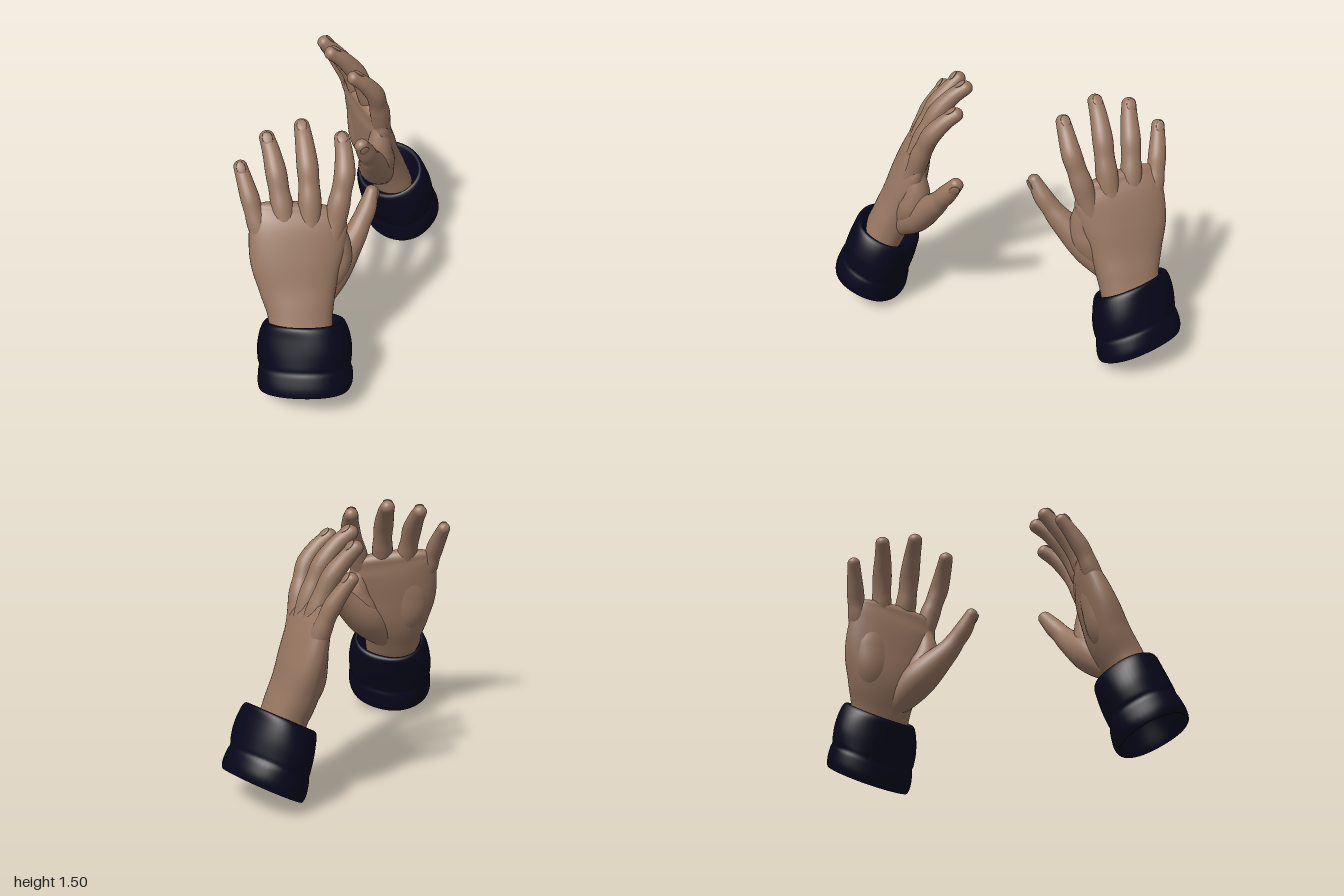
import * as THREE from 'three';

const skin = new THREE.MeshStandardMaterial({ color: 0x977661 });
skin.name = 'skin';
const cloth = new THREE.MeshStandardMaterial({ color: 0x06061b, side: THREE.DoubleSide });
cloth.name = 'navy cloth';

const vec = (x, y, z) => new THREE.Vector3(x, y, z);
const ACROSS = vec(0.43, -0.08, -0.9); // from index side to little-finger side

// Smooth path and radii through stations [x, y, z, halfWidth, halfDepth]
function makePath(stations, across, axis) {
  const curve = new THREE.CatmullRomCurve3(
    stations.map(s => vec(s[0], s[1], s[2])), false, 'catmullrom', 0.5);
  const radii = new THREE.CatmullRomCurve3(
    stations.map(s => vec(s[3], s[4], 0)), false, 'catmullrom', 0.5);
  return t => {
    const T = axis ? axis.clone().normalize() : curve.getTangent(t);
    const W = across.clone().addScaledVector(T, -across.dot(T)).normalize();
    const N = T.clone().cross(W);
    const r = radii.getPoint(t);
    return { c: curve.getPoint(t), T, W, N, rw: r.x, rn: r.y };
  };
}

// Skins closed cross-sections along a path; dome rounds off the far end
function loft(path, { rings = 30, sides = 28, dome = 0, power = 1, wobble = 0 } = {}) {
  const frames = [];
  for (let i = 0; i <= rings; i++) frames.push(path(i / rings));
  const end = frames[rings];
  const steps = dome ? 7 : 0;
  for (let k = 1; k <= steps; k++) {
    const a = (k / steps) * Math.PI / 2, s = Math.max(Math.cos(a), 0.001);
    frames.push({ ...end, c: end.c.clone().addScaledVector(end.T, dome * Math.sin(a)),
      rw: end.rw * s, rn: end.rn * s });
  }
  const shape = v => Math.sign(v) * Math.pow(Math.abs(v), power);
  const pos = [], index = [];
  frames.forEach((f, i) => {
    for (let j = 0; j < sides; j++) {
      const a = (j / sides) * Math.PI * 2;
      const k = 1 + wobble * Math.sin(3 * a + i * 0.2) + wobble * 0.6 * Math.sin(5 * a - i * 0.3);
      const p = f.c.clone()
        .addScaledVector(f.W, shape(Math.cos(a)) * f.rw * k)
        .addScaledVector(f.N, shape(Math.sin(a)) * f.rn * k);
      pos.push(p.x, p.y, p.z);
      if (i < frames.length - 1) {
        const j2 = (j + 1) % sides, A = i * sides, B = A + sides;
        index.push(A + j, A + j2, B + j2, A + j, B + j2, B + j);
      }
    }
  });
  const g = new THREE.BufferGeometry();
  g.setAttribute('position', new THREE.Float32BufferAttribute(pos, 3));
  g.setIndex(index);
  g.computeVertexNormals();
  return g;
}

function add(group, name, geometry, material) {
  const mesh = new THREE.Mesh(geometry, material);
  mesh.name = name;
  group.add(mesh);
}

// Finger with a nail on its back
function addFinger(group, name, stations, across) {
  const path = makePath(stations, across);
  const tip = path(1);
  add(group, name, loft(path, { dome: tip.rn * 0.95, rings: 40, sides: 24 }), skin);
  const f = path(0.97);
  const nail = new THREE.SphereGeometry(1, 16, 10);
  nail.scale(f.rw * 0.66, 0.009, 0.036);
  nail.applyMatrix4(new THREE.Matrix4().makeBasis(f.W, f.N, f.T)
    .setPosition(f.c.clone().addScaledVector(f.N, -f.rn * 0.93)));
  add(group, name + 'Nail', nail, skin);
}

// Joint centres from the back of the hand, over the knuckle, to the tip; r is the base radius
const FINGERS = {
  indexFinger: { r: 0.057, p: [[0.585, 0.72, -0.2], [0.48, 0.96, -0.158], [0.44, 1.09, -0.14],
    [0.41, 1.17, -0.13], [0.373, 1.255, -0.123], [0.31, 1.34, -0.145], [0.25, 1.395, -0.175]] },
  middleFinger: { r: 0.058, p: [[0.63, 0.74, -0.275], [0.535, 0.98, -0.275], [0.49, 1.12, -0.285],
    [0.457, 1.21, -0.297], [0.42, 1.3, -0.315], [0.35, 1.4, -0.352], [0.285, 1.458, -0.387]] },
  ringFinger: { r: 0.057, p: [[0.67, 0.73, -0.355], [0.59, 0.95, -0.392], [0.55, 1.09, -0.42],
    [0.523, 1.18, -0.443], [0.49, 1.27, -0.468], [0.435, 1.36, -0.51], [0.393, 1.422, -0.548]] },
  littleFinger: { r: 0.051, p: [[0.69, 0.7, -0.43], [0.645, 0.89, -0.495], [0.623, 1.01, -0.538],
    [0.608, 1.085, -0.563], [0.587, 1.155, -0.588], [0.553, 1.235, -0.625], [0.52, 1.298, -0.658]] },
};
const SWELL = [0.8, 0.98, 1.08, 0.97, 1.0, 0.85, 0.72]; // joints fuller than the bones between

function makeHand() {
  const hand = new THREE.Group();

  // Wrist stump, closed inside the sleeve, widening into the palm
  add(hand, 'palm', loft(makePath([
    [0.75, 0.335, -0.28, 0.002, 0.002],
    [0.745, 0.345, -0.28, 0.15, 0.105],
    [0.675, 0.52, -0.3, 0.18, 0.12],
    [0.625, 0.66, -0.325, 0.215, 0.118],
    [0.588, 0.82, -0.34, 0.252, 0.104],
    [0.54, 0.98, -0.337, 0.264, 0.08],
    [0.508, 1.065, -0.335, 0.246, 0.05],
  ], ACROSS), { rings: 48, sides: 48, dome: 0.05, power: 0.88 }), skin);

  for (const [name, { r, p }] of Object.entries(FINGERS)) {
    addFinger(hand, name, p.map((q, i) => [...q, r * SWELL[i], r * SWELL[i] * 0.96]), ACROSS);
  }

  // Thumb grows out of the fleshy pad at the wrist
  addFinger(hand, 'thumb', [
    [0.625, 0.51, -0.27, 0.08, 0.08],
    [0.465, 0.665, -0.19, 0.1, 0.105],
    [0.325, 0.82, -0.1, 0.072, 0.07],
    [0.272, 0.89, -0.072, 0.058, 0.057],
    [0.225, 0.955, -0.05, 0.055, 0.053],
    [0.17, 1.037, -0.037, 0.041, 0.037],
  ], vec(0.64, 0.435, 0.375));

  // Soft pads filling the palm side and the fork of the thumb
  add(hand, 'thumbWeb', loft(makePath([
    [0.6, 0.56, -0.24, 0.06, 0.06],
    [0.48, 0.72, -0.175, 0.095, 0.095],
    [0.45, 0.84, -0.15, 0.075, 0.075],
    [0.465, 0.98, -0.155, 0.045, 0.048],
  ], ACROSS), { dome: 0.05 }), skin);
  add(hand, 'heelPad', loft(makePath([
    [0.67, 0.52, -0.36, 0.07, 0.06],
    [0.605, 0.68, -0.425, 0.1, 0.068],
    [0.578, 0.83, -0.44, 0.11, 0.06],
    [0.555, 0.96, -0.435, 0.1, 0.043],
  ], ACROSS), { dome: 0.04 }), skin);

  return hand;
}

// Cuff rings [height from bottom to top, halfWidth, halfDepth]: hollow, hem, fold, rim, lining
const CUFF = [
  [0.8, 0.13, 0.08], [0.45, 0.2, 0.16], [0.07, 0.235, 0.19], [0, 0.25, 0.213],
  [0.11, 0.264, 0.222], [0.28, 0.262, 0.213], [0.36, 0.256, 0.203], [0.44, 0.261, 0.205],
  [0.63, 0.263, 0.205], [0.83, 0.249, 0.2], [0.97, 0.226, 0.194], [1, 0.205, 0.172],
  [0.94, 0.19, 0.145], [0.74, 0.14, 0.085],
];

// Turned-back sleeve between two centres
function makeCuff(bottom, top, across, axis) {
  const stations = CUFF.map(([s, w, d]) => [...bottom.clone().lerp(top, s).toArray(), w, d]);
  return loft(makePath(stations, across, axis),
    { rings: 65, sides: 48, power: 0.93, wobble: 0.009 });
}

// Reflected geometry with its faces flipped to stay outward
function mirrored(geometry, matrix) {
  const g = geometry.clone().applyMatrix4(matrix);
  g.setIndex(Array.from(g.index.array).reverse());
  return g;
}

export function createModel() {
  const model = new THREE.Group();
  model.name = 'pairOfHands';

  const left = makeHand();
  left.name = 'leftHand';
  const right = new THREE.Group();
  right.name = 'rightHand';

  // The right hand is a reflection, turned inward and tipped slightly
  const flip = new THREE.Matrix4().makeScale(-1, 1, 1);
  const pose = new THREE.Matrix4().makeTranslation(-0.05, -0.033, 0.098)
    .multiply(new THREE.Matrix4().makeRotationZ(-0.04))
    .multiply(new THREE.Matrix4().makeRotationX(-0.07))
    .multiply(flip)
    .multiply(new THREE.Matrix4().makeRotationY(-26 * Math.PI / 180))
    .multiply(new THREE.Matrix4().makeTranslation(0.04, 0, 0.24));
  for (const part of left.children) add(right, part.name, mirrored(part.geometry, pose), skin);

  add(left, 'sleeveCuff', makeCuff(vec(0.82, 0.116, -0.27), vec(0.7, 0.488, -0.285),
    vec(0.08, 0, -1), vec(-0.52, 0.85, 0)), cloth);
  add(right, 'sleeveCuff', mirrored(makeCuff(vec(0.79, 0.112, 0.44), vec(0.69, 0.485, 0.345),
    vec(0.45, 0, -0.88), vec(-0.34, 1, -0.35)), flip), cloth);

  model.add(left, right);
  return model;
}
